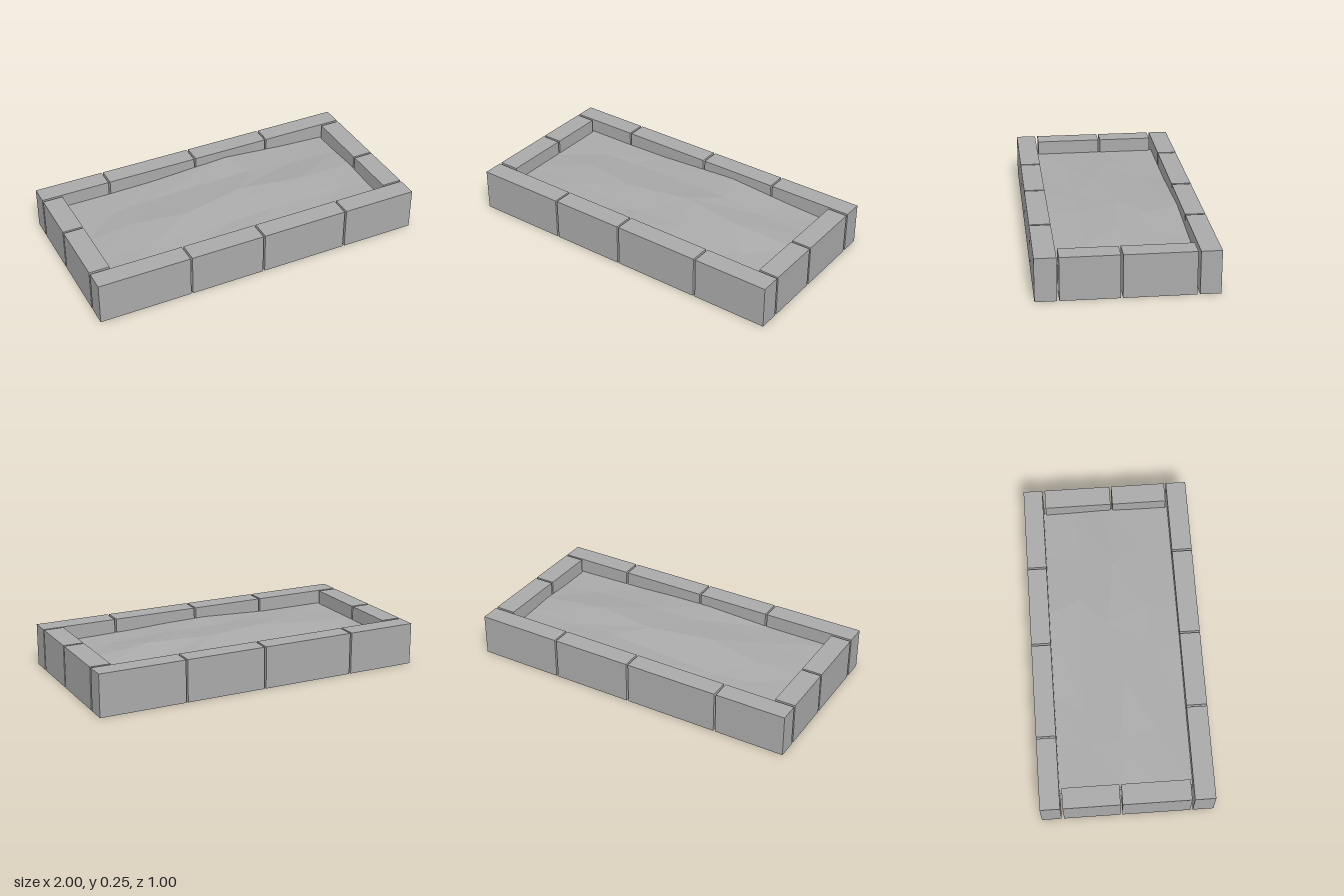
import * as THREE from 'three';

export function createModel() {
  const model = new THREE.Group();
  const stone = new THREE.MeshStandardMaterial({ color: 0xaaaaaa, flatShading: true });
  stone.name = 'grey stone';

  const H = 0.25;
  const addBlock = (name, x0, x1, z0, z1) => {
    const mesh = new THREE.Mesh(new THREE.BoxGeometry(x1 - x0, H, z1 - z0), stone);
    mesh.position.set((x0 + x1) / 2, H / 2, (z0 + z1) / 2);
    mesh.name = name;
    model.add(mesh);
  };

  // Border blocks along the long sides: spans in x
  [[-1, -0.451], [-0.44, 0.005], [0.016, 0.537], [0.549, 1]]
    .forEach(([a, b], i) => addBlock(`frontBlock${i + 1}`, a, b, 0.38, 0.5));
  [[-1, -0.582], [-0.571, -0.014], [-0.002, 0.477], [0.488, 1]]
    .forEach(([a, b], i) => addBlock(`backBlock${i + 1}`, a, b, -0.5, -0.385));

  // Border blocks along the short ends: spans in z
  [[-0.37, -0.042], [-0.03, 0.365]]
    .forEach(([a, b], i) => addBlock(`rightEndBlock${i + 1}`, -1, -0.88, a, b));
  [[-0.37, 0.029], [0.041, 0.368]]
    .forEach(([a, b], i) => addBlock(`leftEndBlock${i + 1}`, 0.88, 1, a, b));

  // Uneven floor: a slab whose top grid points are shifted; rows run back to front, each point is [x, z, y]
  const W = 0.89, D = 0.387;
  const rows = [
    [[-W, -D, 0.165], [-0.6, -D, 0.165], [-0.31, -D, 0.17], [0.2, -D, 0.2], [0.59, -D, 0.17], [W, -D, 0.155]],
    [[-W, -0.19, 0.165], [-0.62, -0.2, 0.165], [-0.41, -0.22, 0.165], [0.28, -0.2, 0.19], [0.55, -0.19, 0.17], [W, -0.19, 0.16]],
    [[-W, 0, 0.165], [-0.6, -0.02, 0.185], [-0.25, 0.04, 0.2], [0.12, -0.04, 0.205], [0.5, 0.015, 0.2], [W, -0.02, 0.17]],
    [[-W, 0.19, 0.165], [-0.55, 0.2, 0.18], [-0.06, 0.21, 0.18], [0.22, 0.2, 0.185], [0.66, 0.2, 0.165], [W, 0.19, 0.16]],
    [[-W, D, 0.165], [-0.49, D, 0.165], [-0.06, D, 0.185], [0.2, D, 0.18], [0.42, D, 0.17], [W, D, 0.16]],
  ];
  const geo = new THREE.BoxGeometry(2 * W, 0.16, 2 * D, 5, 1, 4);
  const pos = geo.attributes.position;
  for (let i = 0; i < pos.count; i++) {
    if (pos.getY(i) < 0) {
      pos.setY(i, 0.005);
      continue;
    }
    const col = Math.round((pos.getX(i) / (2 * W) + 0.5) * 5);
    const row = Math.round((pos.getZ(i) / (2 * D) + 0.5) * 4);
    const [x, z, y] = rows[row][col];
    pos.setXYZ(i, x, y, z);
  }
  const floorGeo = geo.toNonIndexed();
  floorGeo.computeVertexNormals();
  const floor = new THREE.Mesh(floorGeo, stone);
  floor.name = 'unevenFloor';
  model.add(floor);

  return model;
}
